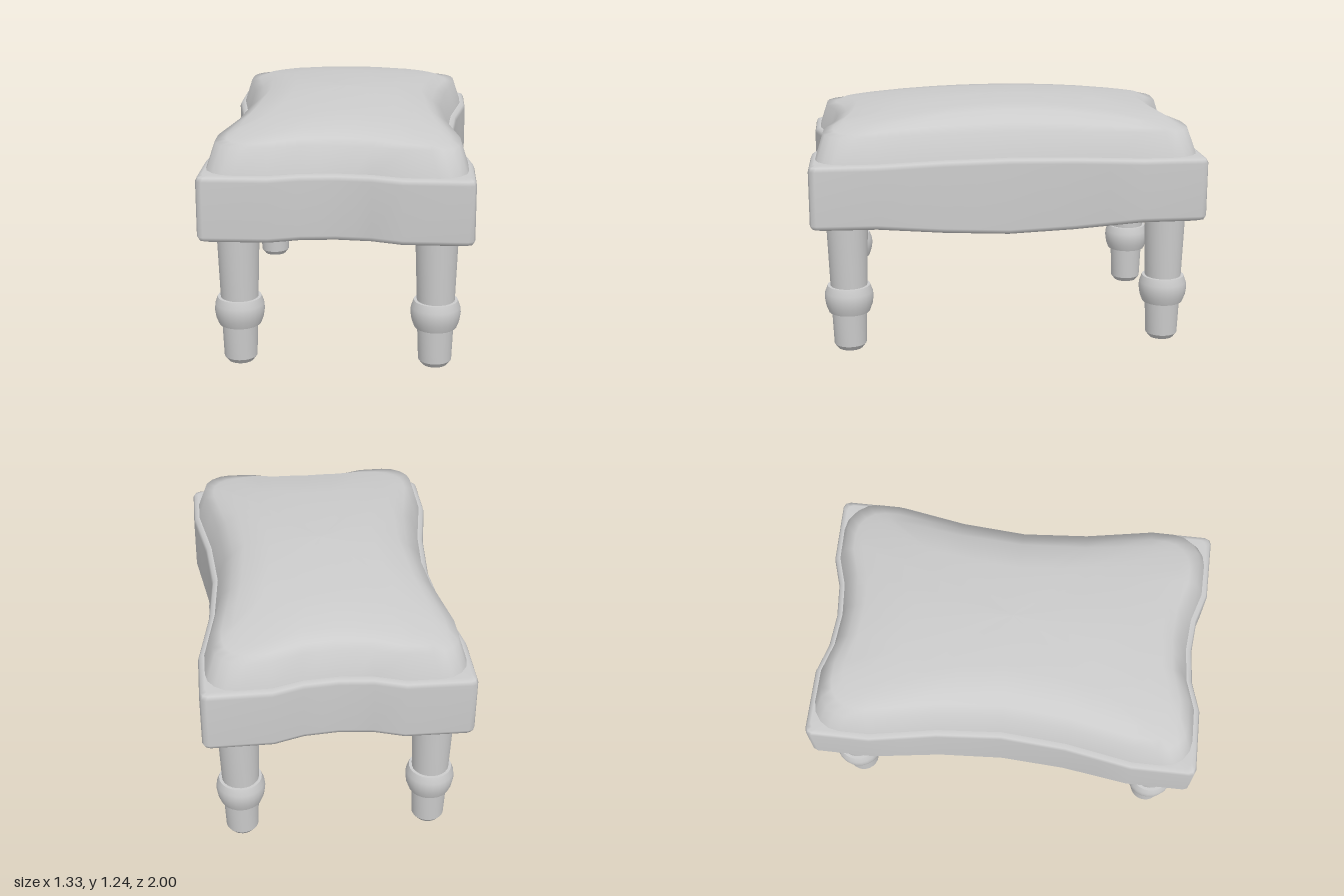
import * as THREE from 'three';
import { toCreasedNormals } from 'three/addons/utils/BufferGeometryUtils.js';

const material = new THREE.MeshStandardMaterial({ color: 0xcccccc, roughness: 0.8 });

// Piecewise linear lookup over [position, value] knots
function lookup(knots, t) {
  t = Math.abs(t);
  for (let i = 1; i < knots.length; i++) {
    const [a, va] = knots[i - 1], [b, vb] = knots[i];
    if (t <= b) return va + (vb - va) * (t - a) / (b - a);
  }
  return knots[knots.length - 1][1];
}
const waistX = z => lookup([[0, 0.085], [0.33, 0.06], [0.67, 0]], z);
const waistZ = x => lookup([[0, 0.065], [0.17, 0.05], [0.33, 0]], x);
const sag = z => lookup([[0, 0.067], [0.33, 0.045], [0.68, 0]], z);

// Rounded rectangle with pinched sides, as [x, z] points around the full loop
function outline(X, Z, r, cornerSteps) {
  const quad = [[X, 0], [X, 0.165], [X, 0.33], [X, 0.5], [X, 0.67]];
  for (let i = 0; i <= cornerSteps; i++) {
    const a = i / cornerSteps * Math.PI / 2;
    quad.push([X - r + r * Math.cos(a), Z - r + r * Math.sin(a)]);
  }
  quad.push([0.32, Z], [0.17, Z], [0.085, Z], [0, Z]);
  const pinched = quad.map(([x, z]) => [x - waistX(z) * x / X, z - waistZ(x) * z / Z]);
  const half = [...pinched, ...pinched.slice(0, -1).reverse().map(([x, z]) => [-x, z])];
  return [...half, ...half.slice(1, -1).reverse().map(([x, z]) => [x, -z])];
}

// Skin over rings ordered from bottom to top
function loft(rings) {
  const n = rings[0].length, index = [];
  for (let i = 0; i < rings.length - 1; i++) {
    for (let j = 0; j < n; j++) {
      const a = i * n + j, b = i * n + (j + 1) % n;
      index.push(a, a + n, b, b, a + n, b + n);
    }
  }
  const geometry = new THREE.BufferGeometry();
  geometry.setAttribute('position', new THREE.Float32BufferAttribute(rings.flat(2), 3));
  geometry.setIndex(index);
  geometry.computeVertexNormals();
  return geometry;
}

// Ring at a height rule y(x, z), optionally shrunk toward the centre
const ring = (points, y, s = 1) => points.map(([x, z]) => [x * s, y(x * s, z * s), z * s]);
const capScales = [2 / 3, 1 / 3, 0.001];

function frameGeometry() {
  const X = 0.665, Z = 1, bevel = 0.028;
  const rim = d => outline(X - d, Z - d, 0.032, 2);
  const bottom = lift => (x, z) => 0.67 + lift - sag(z);
  const top = drop => () => 1 - drop;
  return loft([
    ...[...capScales].reverse().map(s => ring(rim(bevel), bottom(0), s)),
    ring(rim(bevel), bottom(0)),
    ring(rim(bevel * 0.3), bottom(bevel * 0.3)),
    ring(rim(0), bottom(bevel)),
    ring(rim(0), top(bevel)),
    ring(rim(bevel * 0.3), top(bevel * 0.3)),
    ring(rim(bevel), top(0)),
    ...capScales.map(s => ring(rim(bevel), top(0), s)),
  ]);
}

function cushionGeometry() {
  const rim = (d, r) => outline(0.635 - d, 0.97 - d, r, 4);
  const dome = (x, z) => 1.24 - 0.15 * x * x - 0.08 * z * z;
  const shoulder = rim(0.145, 0.12);
  return loft([
    ring(rim(0, 0.145), () => 0.995),
    ring(rim(0.042, 0.145), () => 1.125),
    ring(rim(0.09, 0.14), (x, z) => 0.5 * (1.128 + dome(x, z)) - 0.006),
    ring(shoulder, dome),
    ...capScales.map(s => ring(shoulder, dome, s)),
  ]);
}

// Turned leg: tapered foot, bulging collar and flared shaft
function legGeometry() {
  const profile = [
    [0, 0], [0.064, 0], [0.083, 0.025], [0.09, 0.2], [0.106, 0.2], [0.119, 0.235],
    [0.125, 0.275], [0.122, 0.305], [0.109, 0.34], [0.094, 0.34], [0.107, 0.71],
  ].map(([r, y]) => new THREE.Vector2(r, y));
  return toCreasedNormals(new THREE.LatheGeometry(profile, 24), 0.6);
}

export function createModel() {
  const group = new THREE.Group();
  group.name = 'footstool';
  const add = (name, geometry) => {
    const mesh = new THREE.Mesh(geometry, material);
    mesh.name = name;
    group.add(mesh);
    return mesh;
  };

  add('seatFrame', frameGeometry());
  add('cushion', cushionGeometry());

  // Four legs at the corners
  const leg = legGeometry();
  for (const [side, sx] of [['Left', 1], ['Right', -1]]) {
    for (const [end, sz] of [['front', 1], ['back', -1]]) {
      add(`${end}${side}Leg`, leg).position.set(sx * 0.487, 0, sz * 0.82);
    }
  }
  return group;
}
